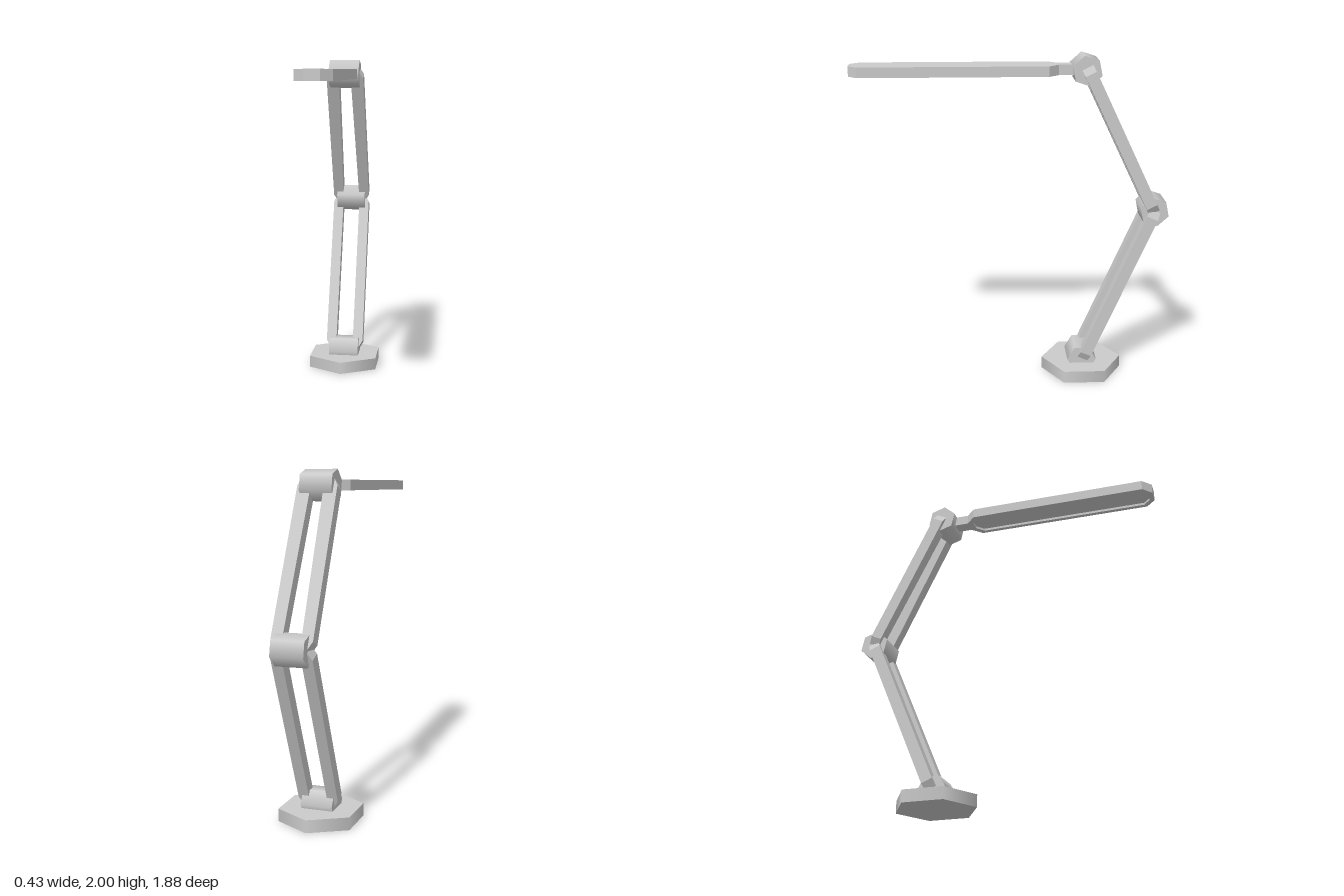
import * as THREE from 'three';

const material = new THREE.MeshStandardMaterial({ color: 0xcccccc });

function add(parent, name, geometry) {
  const mesh = new THREE.Mesh(geometry, material);
  mesh.name = name;
  parent.add(mesh);
  return mesh;
}

const toPoints = (pairs) => pairs.map(([x, y]) => new THREE.Vector2(x, y));

// Hexagonal barrel lying across x
function addJoint(parent, name, y, z, tilt) {
  const geometry = new THREE.CylinderGeometry(0.09, 0.09, 0.19, 6);
  geometry.rotateZ(Math.PI / 2).rotateX(tilt);
  add(parent, name, geometry).position.set(0, y, z);
}

// Pair of mirrored bars between two [y, z] points; each end is [inner x, outer x]
function addArm(parent, name, from, to, low, high) {
  const dy = to[0] - from[0], dz = to[1] - from[1];
  const length = Math.hypot(dy, dz), thick = 0.07, cut = 0.025, rise = 0.045;
  const arm = new THREE.Group();
  arm.name = name;
  for (const side of [1, -1]) {
    const outline = [
      [low[0], 0], [low[1] - cut, 0], [low[1], rise],
      [high[1], length - rise], [high[1] - cut, length], [high[0], length],
    ].map(([x, y]) => [x * side, y]);
    const geometry = new THREE.ExtrudeGeometry(new THREE.Shape(toPoints(outline)), { depth: thick, bevelEnabled: false });
    geometry.translate(0, 0, -thick / 2);
    add(arm, side > 0 ? 'leftBar' : 'rightBar', geometry);
  }
  arm.position.set(0, from[0], from[1]);
  arm.rotation.x = Math.atan2(dz, dy);
  parent.add(arm);
}

// Horizontal plate hanging down from its top height
function addPlate(parent, name, shape, top, depth) {
  const geometry = new THREE.ExtrudeGeometry(shape, { depth, bevelEnabled: false });
  geometry.rotateX(Math.PI / 2).translate(0, top, 0);
  add(parent, name, geometry);
}

export function createModel() {
  const lamp = new THREE.Group();
  lamp.name = 'deskLamp';

  // Hexagonal foot
  add(lamp, 'base', new THREE.CylinderGeometry(0.25, 0.25, 0.075, 6)).position.set(0, 0.0375, -0.44);

  // Hinges
  const tilt = -Math.PI / 10;
  addJoint(lamp, 'baseJoint', 0.1, -0.435, 0);
  addJoint(lamp, 'elbowJoint', 1.065, -0.855, tilt);
  addJoint(lamp, 'headJoint', 1.915, -0.43, tilt);

  // Arms
  addArm(lamp, 'lowerArm', [0.104, -0.44], [1.073, -0.857], [0.055, 0.12], [0.055, 0.12]);
  addArm(lamp, 'upperArm', [1.062, -0.853], [1.94, -0.428], [0.055, 0.12], [0.037, 0.117]);

  // Lamp head with neck, recessed underneath
  const outline = toPoints([
    [-0.04, -0.42], [0.04, -0.42], [0.04, -0.27], [0.1, -0.21], [0.1, 0.885],
    [0.043, 0.94], [-0.043, 0.94], [-0.1, 0.885], [-0.1, -0.21], [-0.04, -0.27],
  ]);
  const recess = toPoints([
    [-0.03, -0.235], [-0.075, -0.19], [-0.075, 0.87], [-0.032, 0.912],
    [0.032, 0.912], [0.075, 0.87], [0.075, -0.19], [0.03, -0.235],
  ]);
  const rim = new THREE.Shape(outline);
  rim.holes.push(new THREE.Path(recess));
  addPlate(lamp, 'headPlate', new THREE.Shape(outline), 1.945, 0.045);
  addPlate(lamp, 'headRim', rim, 1.9, 0.015);

  return lamp;
}
